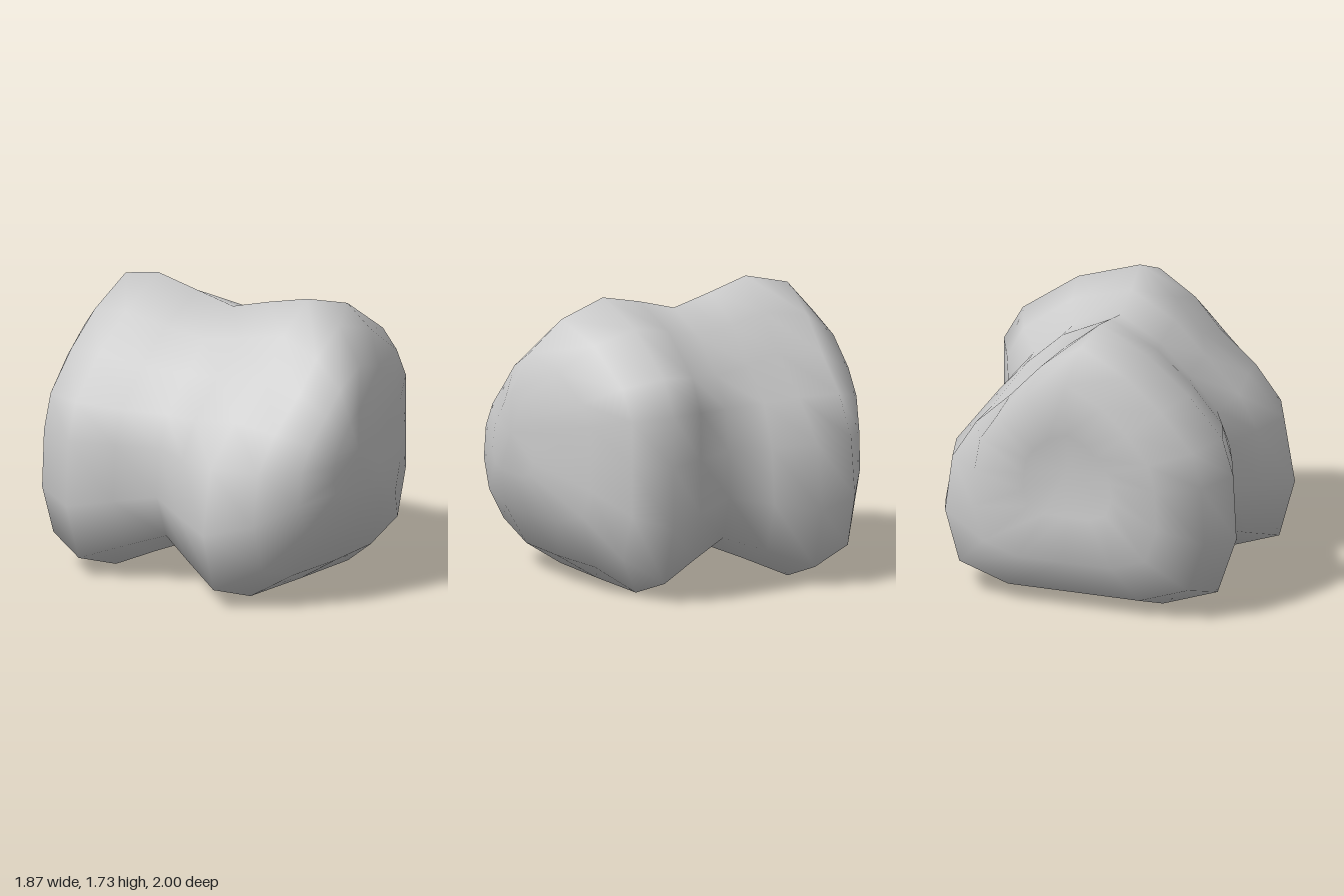
import * as THREE from 'three';

// Half outlines from bottom to top: underside, the full flank of either side, and the flank where it is cut to a slope
const base = [[0.47, 0], [0.82, 0.12]];
const fullLeft = [[0.93, 0.47], [0.93, 0.85], [0.93, 1.16], [0.81, 1.37], [0.46, 1.61]];
const fullRight = [[0.94, 0.47], [0.92, 0.87], [0.85, 1.1], [0.63, 1.35], [0.38, 1.56]];
const slope = [[0.92, 0.48], [0.85, 0.88], [0.62, 1.12], [0.33, 1.34], [0.16, 1.55]];

const flank = (full, amount) => full.map((p, i) => p.map((v, k) => THREE.MathUtils.lerp(v, slope[i][k], amount)));

// Closed outline, counter-clockwise seen from the front
function outline(leftSlope, rightSlope) {
  const left = [...base, ...flank(fullLeft, leftSlope)];
  const right = [...base, ...flank(fullRight, rightSlope)].map(([x, y]) => [-x, y]).reverse();
  return [[0, 0], ...left, [0.07 * (rightSlope - leftSlope), 1.73], ...right];
}

// z, slope on the left (+x) and right (-x), width, upper and lower scale, x shift, backward skew on the left
const rings = [
  [1.0, 0, 0.4, 0.25, 0.35, 0.22, -0.1, 0.2],
  [0.93, 0, 0.45, 0.6, 0.64, 0.5, -0.02, 0.24],
  [0.74, 0, 0.75, 0.84, 0.87, 0.81, 0, 0.12],
  [0.47, 0, 1, 1, 1, 1, 0, 0.03],
  [0.2, 0, 0.4, 0.88, 0.93, 0.87, 0, 0],
  [-0.05, 0.2, 0.2, 0.77, 0.85, 0.74, 0, 0],
  [-0.3, 0.5, 0, 0.88, 0.92, 0.86, 0, 0],
  [-0.57, 1, 0, 1, 1, 1, 0, 0],
  [-0.84, 0.75, 0, 0.89, 0.93, 0.88, 0, 0],
  [-1.0, 0.25, 0, 0.63, 0.71, 0.6, 0, 0],
  [-0.96, 0.25, 0, 0.3, 0.32, 0.28, 0, 0],
];

export function createModel() {
  const midY = 0.87;
  const positions = [];
  const index = [];
  const n = outline(0, 0).length;

  // Cross-sections from the front to the back
  for (const [z, leftSlope, rightSlope, width, upper, lower, shift, skew] of rings) {
    for (const [px, py] of outline(leftSlope, rightSlope)) {
      const x = px * width + shift;
      const dy = py - midY;
      positions.push(x, midY + dy * (dy > 0 ? upper : lower), z - skew * Math.max(0, x));
    }
  }
  for (let r = 0; r < rings.length - 1; r++) {
    for (let i = 0; i < n; i++) {
      const a = r * n + i;
      const b = r * n + (i + 1) % n;
      index.push(a, a + n, b, b, a + n, b + n);
    }
  }

  // End caps, the rear one slightly hollow
  const frontTip = rings.length * n;
  const rearTip = frontTip + 1;
  const last = (rings.length - 1) * n;
  positions.push(-0.1, 0.93, 1.0, 0, 0.92, -0.95);
  for (let i = 0; i < n; i++) {
    const j = (i + 1) % n;
    index.push(frontTip, i, j, rearTip, last + j, last + i);
  }

  const geometry = new THREE.BufferGeometry();
  geometry.setAttribute('position', new THREE.Float32BufferAttribute(positions, 3));
  geometry.setIndex(index);
  geometry.computeVertexNormals();

  const body = new THREE.Mesh(geometry, new THREE.MeshStandardMaterial({ color: 0xcccccc }));
  body.name = 'twoLobedBody';
  const group = new THREE.Group();
  group.name = 'boulder';
  group.add(body);
  return group;
}
